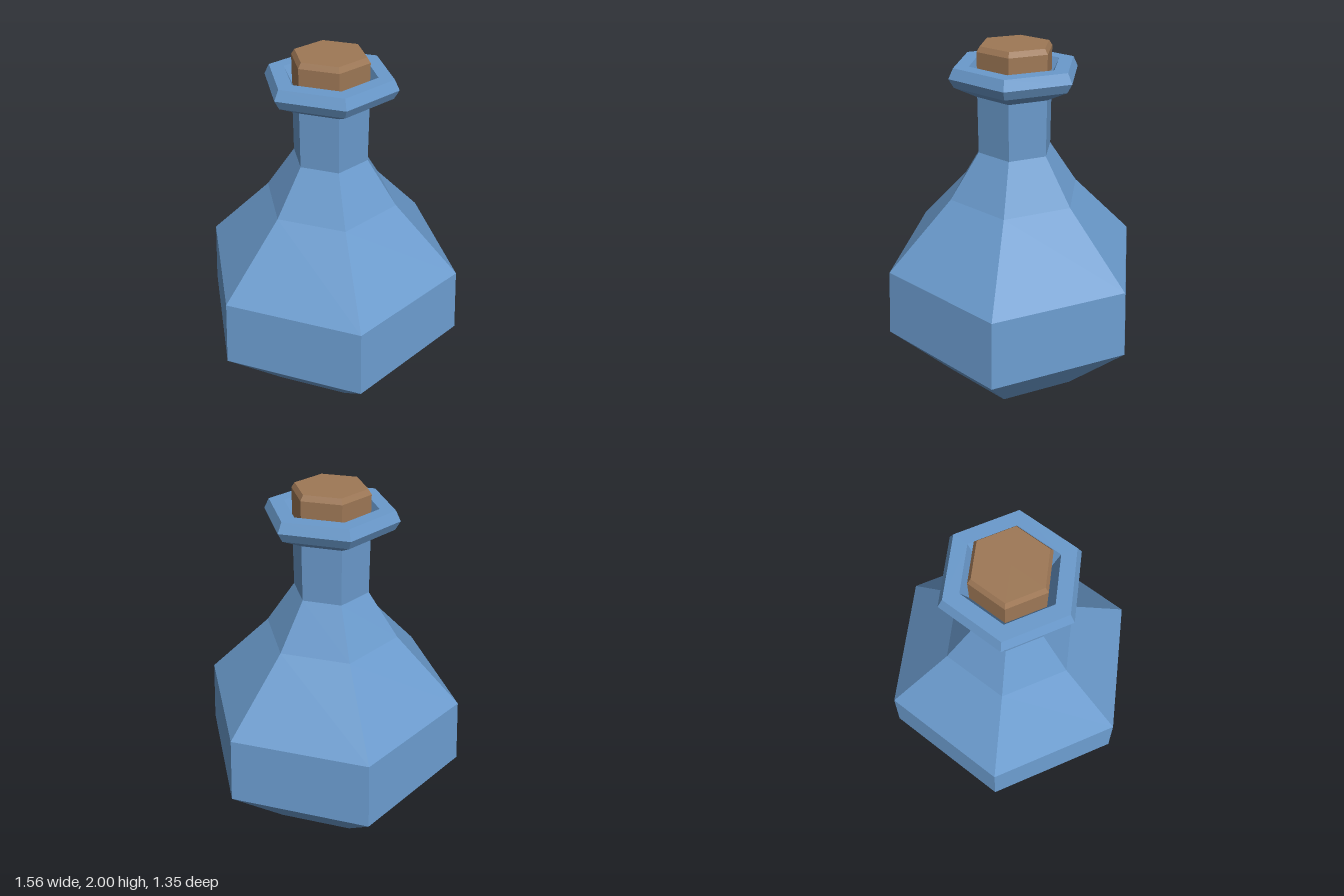
import * as THREE from 'three';

const SIDES = 6;

// Six-sided turned part, with corners on the x axis; profile is [radius, y] from bottom to top
function turned(name, profile, material) {
  const points = profile.map(([r, y]) => new THREE.Vector2(r, y));
  const geometry = new THREE.LatheGeometry(points, SIDES, Math.PI / 2);
  const mesh = new THREE.Mesh(geometry, material);
  mesh.name = name;
  return mesh;
}

export function createModel() {
  const glass = new THREE.MeshStandardMaterial({ color: 0x6a9acc, flatShading: true });
  glass.name = 'blue glass';
  const corkBrown = new THREE.MeshStandardMaterial({ color: 0x9e7856, flatShading: true });
  corkBrown.name = 'cork brown';

  const group = new THREE.Group();
  group.name = 'bottle';

  // Base, belly, shoulder and neck
  group.add(turned('body', [
    [0, 0], [0.425, 0], [0.782, 0.393], [0.75, 0.79],
    [0.378, 1.178], [0.21, 1.432], [0.21, 1.74],
  ], glass));

  // Flared lip with a funnel-shaped mouth
  group.add(turned('lip', [
    [0.21, 1.74], [0.333, 1.802], [0.36, 1.85], [0.333, 1.903],
    [0.25, 1.903], [0.2, 1.8],
  ], glass));

  // Stopper with a chamfered top
  group.add(turned('cork', [
    [0, 1.75], [0.19, 1.75], [0.208, 1.8], [0.208, 1.973], [0.19, 2], [0, 2],
  ], corkBrown));

  return group;
}
